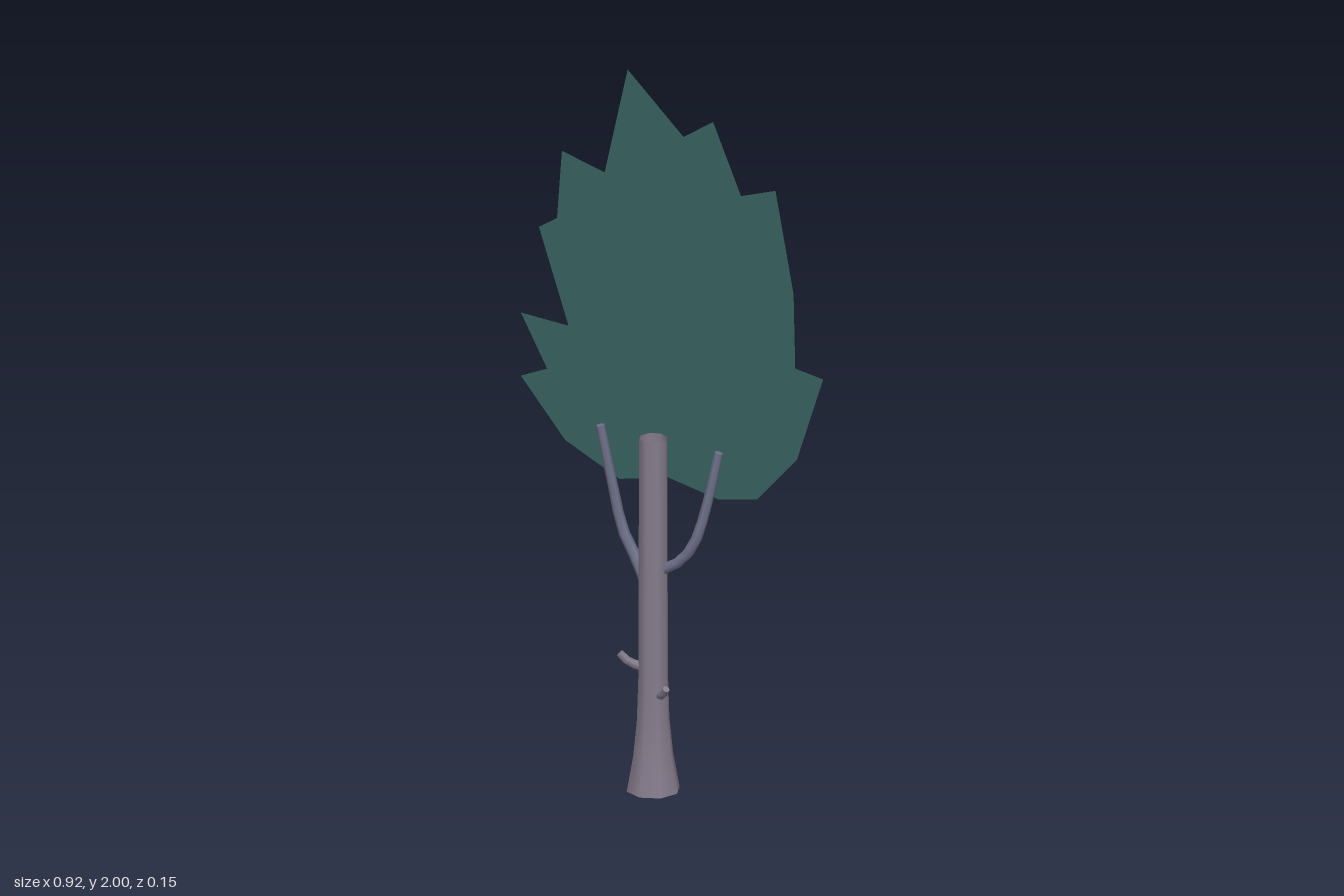
import * as THREE from 'three';

const bark = new THREE.MeshStandardMaterial({ color: 0x857c8c, side: THREE.DoubleSide });
const youngBark = new THREE.MeshStandardMaterial({ color: 0x6f718a, side: THREE.DoubleSide });
const leaf = new THREE.MeshStandardMaterial({ color: 0x386361, side: THREE.DoubleSide });

// Tapered six-sided limb along a curve, closed at its tip
function limb(name, points, r0, r1, steps, material) {
  const curve = new THREE.CatmullRomCurve3(points.map(p => new THREE.Vector3(...p)));
  const sides = 6;
  const geo = new THREE.TubeGeometry(curve, steps, 1, sides);
  const pos = geo.attributes.position;
  const v = new THREE.Vector3();
  for (let i = 0; i <= steps; i++) {
    const t = i / steps;
    const centre = curve.getPointAt(t);
    for (let j = 0; j <= sides; j++) {
      const k = i * (sides + 1) + j;
      v.fromBufferAttribute(pos, k).sub(centre).multiplyScalar(r0 + (r1 - r0) * t).add(centre);
      pos.setXYZ(k, v.x, v.y, v.z);
    }
  }
  const tip = new THREE.Mesh(new THREE.CircleGeometry(r1, sides), material);
  tip.name = name + 'Tip';
  tip.position.copy(curve.getPointAt(1));
  tip.quaternion.setFromUnitVectors(new THREE.Vector3(0, 0, 1), curve.getTangentAt(1));
  const group = new THREE.Group();
  group.name = name;
  const tube = new THREE.Mesh(geo, material);
  tube.name = name + 'Wood';
  group.add(tube, tip);
  return group;
}

export function createModel() {
  const tree = new THREE.Group();
  tree.name = 'tree';

  // Hollow octagonal trunk with a flared foot
  const profile = [[0.073, 0], [0.055, 0.1], [0.045, 0.2], [0.041, 0.32], [0.04, 0.65], [0.039, 1]];
  const trunk = new THREE.Mesh(
    new THREE.LatheGeometry(profile.map(p => new THREE.Vector2(...p)), 8), bark);
  trunk.name = 'trunk';
  trunk.position.set(-0.012, 0, 0.004);
  tree.add(trunk);

  // Two long branches that rise in front of the foliage
  tree.add(limb('rightBranch', [
    [-0.04, 0.53, -0.025], [-0.08, 0.595, -0.052], [-0.14, 0.69, -0.062],
    [-0.17, 0.82, -0.057], [-0.2, 0.985, -0.045]], 0.017, 0.012, 8, youngBark));
  tree.add(limb('leftBranch', [
    [0.015, 0.63, 0], [0.07, 0.665, -0.003], [0.11, 0.725, -0.006],
    [0.138, 0.83, -0.02], [0.165, 0.978, -0.036]], 0.016, 0.012, 8, youngBark));

  // Short broken stubs low on the trunk
  tree.add(limb('rightStub', [
    [-0.035, 0.35, 0.02], [-0.068, 0.363, 0.036], [-0.09, 0.387, 0.046]], 0.014, 0.011, 3, bark));
  tree.add(limb('leftStub', [
    [0.015, 0.28, 0.02], [0.035, 0.288, 0.034], [0.05, 0.31, 0.044]], 0.014, 0.01, 3, bark));

  // Flat jagged foliage card behind the trunk
  const outline = [
    [-0.135, 2], [0.035, 1.84], [0.125, 1.9], [0.21, 1.705], [0.315, 1.74], [0.37, 1.455],
    [0.375, 1.245], [0.46, 1.23], [0.38, 0.985], [0.26, 0.85], [0.14, 0.827], [-0.01, 0.86],
    [-0.16, 0.828], [-0.325, 0.907], [-0.46, 1.065], [-0.38, 1.1], [-0.46, 1.245],
    [-0.315, 1.235], [-0.405, 1.5], [-0.35, 1.535], [-0.335, 1.73], [-0.205, 1.693]];
  const foliage = new THREE.Mesh(
    new THREE.ShapeGeometry(new THREE.Shape(outline.map(p => new THREE.Vector2(...p)))), leaf);
  foliage.name = 'foliage';
  foliage.position.z = -0.077;
  tree.add(foliage);

  return tree;
}
